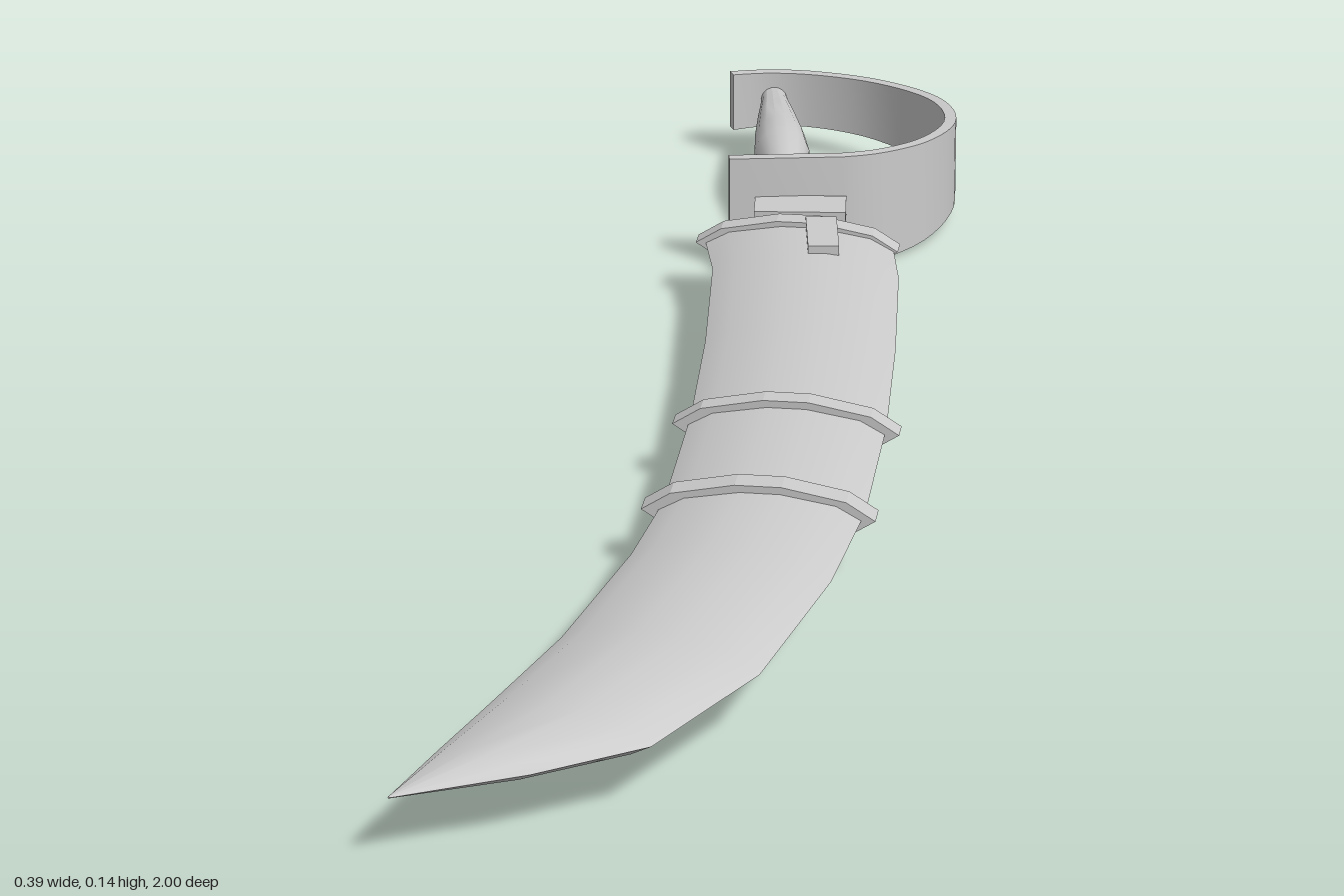
import * as THREE from 'three';
import { toCreasedNormals } from 'three/addons/utils/BufferGeometryUtils.js';

const MID = 0.073; // height of the sabre's central plane
const material = new THREE.MeshStandardMaterial({ color: 0xcccccc });

// Lens-shaped scabbard section in unit half-width and half-height, counter-clockwise
const LENS = [[1, 0], [0.75, 0.6], [0.2, 1], [-0.2, 1], [-0.75, 0.6], [-1, 0],
  [-0.75, -0.6], [-0.2, -1], [0.2, -1], [0.75, -0.6]];
const BOX = [[-1, -1], [1, -1], [1, 1], [-1, 1]];

// Joins equal-sized rings of points into a closed solid
function loft(rings, crease) {
  const n = rings[0].length;
  const index = [];
  for (let i = 0; i < rings.length - 1; i++) {
    for (let j = 0; j < n; j++) {
      const k = (j + 1) % n;
      const a = i * n + j, b = i * n + k, c = b + n, d = a + n;
      index.push(a, b, c, a, c, d);
    }
  }
  const last = (rings.length - 1) * n;
  for (let j = 1; j < n - 1; j++) {
    index.push(0, j + 1, j, last, last + j, last + j + 1);
  }
  const geometry = new THREE.BufferGeometry();
  geometry.setAttribute('position', new THREE.Float32BufferAttribute(rings.flat(2), 3));
  geometry.setIndex(index);
  return toCreasedNormals(geometry, crease);
}

// Ring spanning from left point to right point in plan
const spanRing = (profile, lx, lz, rx, rz, h) => profile.map(([u, v]) => {
  const t = (u + 1) / 2;
  return [lx + (rx - lx) * t, MID + v * h, lz + (rz - lz) * t];
});

export function createModel() {
  const model = new THREE.Group();
  model.name = 'sheathedSabre';
  const add = (name, geometry, x = 0, y = 0, z = 0) => {
    const mesh = new THREE.Mesh(geometry, material);
    mesh.name = name;
    mesh.position.set(x, y, z);
    model.add(mesh);
    return mesh;
  };

  // Curved scabbard: left x, left z, right x, right z, half height
  const stations = [
    [-0.098, -0.49, 0.124, -0.49, 0.025],
    [-0.077, -0.4, 0.14, -0.4, 0.025],
    [-0.055, -0.18, 0.16, -0.18, 0.025],
    [-0.041, 0.04, 0.174, 0.04, 0.025],
    [-0.037, 0.27, 0.177, 0.27, 0.025],
    [-0.051, 0.41, 0.162, 0.45, 0.025],
    [-0.09, 0.62, 0.118, 0.68, 0.025],
    [-0.135, 0.78, 0.035, 0.855, 0.023],
    [-0.167, 0.89, -0.07, 0.93, 0.014],
    [-0.196, 0.995, -0.194, 0.996, 0.001],
  ];
  add('scabbard', loft(stations.map((s) => spanRing(LENS, ...s)), 0.7));

  // Raised bands and throat: lens-shaped rings around the scabbard
  const bands = [
    ['throat', -0.508, 0.026, -0.108, 0.13, 0.031],
    ['upperBand', 0.036, 0.026, -0.058, 0.19, 0.033],
    ['lowerBand', 0.264, 0.03, -0.058, 0.19, 0.033],
  ];
  for (const [name, z, depth, left, right, h] of bands) {
    const half = (right - left) / 2;
    const outline = (w, v) => LENS.map(([a, b]) => new THREE.Vector2(a * w, b * v));
    const shape = new THREE.Shape(outline(half, h));
    shape.holes.push(new THREE.Path(outline(half - 0.018, h - 0.009)));
    const ring = new THREE.ExtrudeGeometry(shape, { depth, bevelEnabled: false });
    add(name, ring, (left + right) / 2, MID, z);
  }

  // Stud strap on the upper face, just below the throat
  const clip = new THREE.BoxGeometry(0.036, 0.018, 0.095);
  add('frogStud', clip, 0.045, 0.098, -0.45).rotation.y = 0.15;

  // Block between hand guard and throat
  const block = new THREE.BoxGeometry(0.108, 0.045, 0.055);
  add('guardBlock', block, 0.005, MID, -0.566).rotation.y = 0.1;

  // Sweeping hand guard: a flat strip that narrows toward the pommel
  const straight = new THREE.Vector3(-0.082, 0, -0.582);
  const curve = new THREE.CatmullRomCurve3([
    [0.05, -0.61], [0.085, -0.63], [0.135, -0.69], [0.16, -0.79], [0.13, -0.894],
    [0.05, -0.966], [-0.04, -0.993], [-0.095, -0.988], [-0.131, -0.973],
  ].map(([x, z]) => new THREE.Vector3(x, 0, z)));
  const path = [straight, ...curve.getSpacedPoints(32)];
  const guardRings = path.map((p, i) => {
    const d = path[Math.min(i + 1, path.length - 1)].clone()
      .sub(path[Math.max(i - 1, 0)]).normalize();
    const half = THREE.MathUtils.mapLinear(Math.min(p.z, -0.6), -0.6, -1, 0.071, 0.034);
    return BOX.map(([u, v]) => [p.x + d.z * u * 0.007, MID + v * half, p.z - d.x * u * 0.007]);
  });
  add('handGuard', loft(guardRings, 0.6));

  // Swelling grip from the guard to the pommel end
  const start = new THREE.Vector3(-0.012, MID, -0.6);
  const end = new THREE.Vector3(-0.08, MID, -0.988);
  const axis = end.clone().sub(start);
  const length = axis.length();
  const profile = [[0, 0], [0.014, 0], [0.018, 0.12], [0.027, 0.3], [0.034, 0.48],
    [0.031, 0.62], [0.024, 0.8], [0.018, 0.93], [0.016, 1], [0, 1]]
    .map(([r, t]) => new THREE.Vector2(r, t * length));
  const grip = add('grip', toCreasedNormals(new THREE.LatheGeometry(profile, 16), 0.7),
    start.x, start.y, start.z);
  grip.quaternion.setFromUnitVectors(new THREE.Vector3(0, 1, 0), axis.normalize());

  return model;
}
